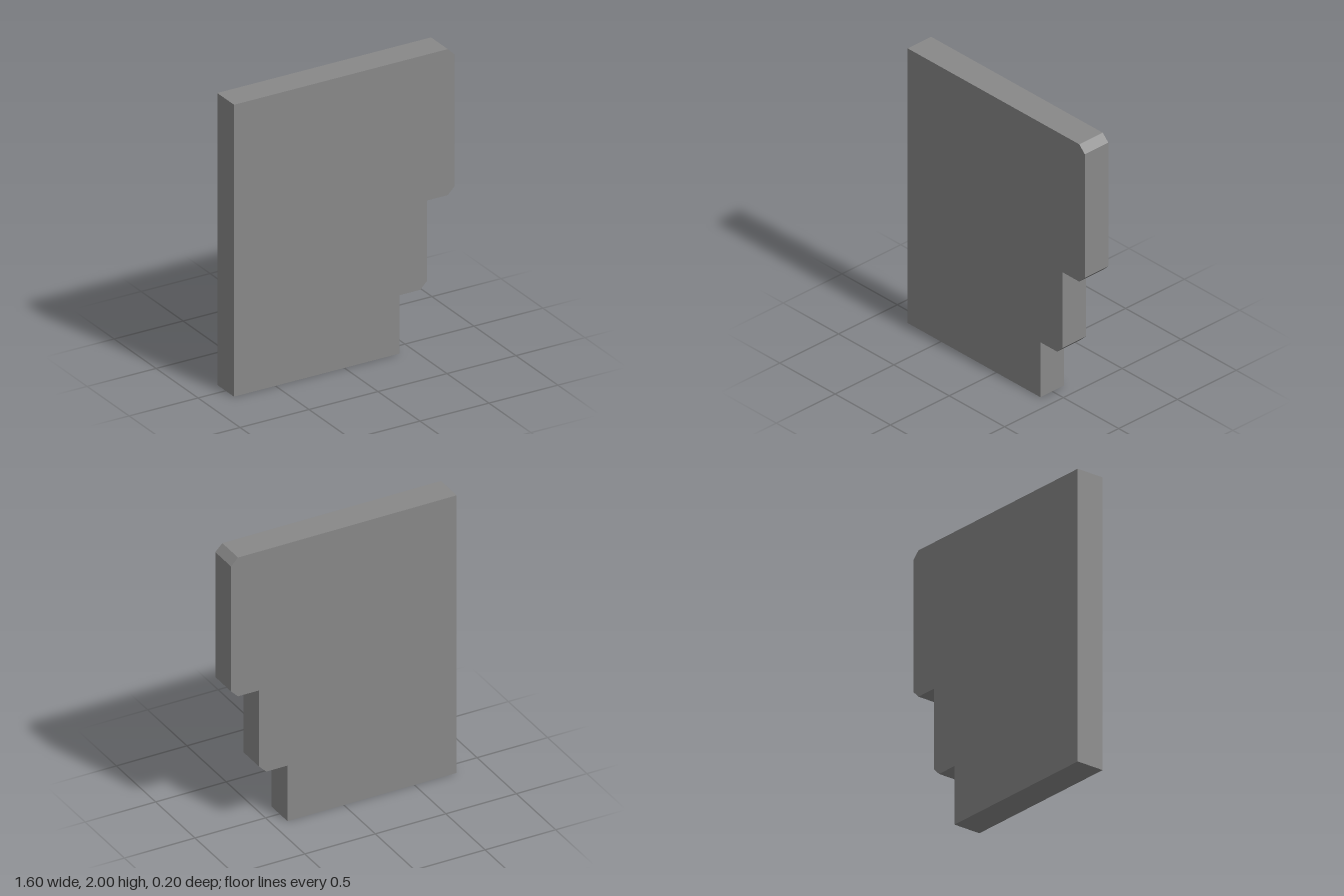
import * as THREE from 'three';

export function createModel() {
  const group = new THREE.Group();
  group.name = 'steppedPanel';

  // Stepped outline with chamfered corners, counter-clockwise
  const outline = [
    [-0.8, 0], [0.4, 0], [0.4, 0.4],
    [0.55, 0.4], [0.6, 0.45], [0.6, 1],
    [0.75, 1], [0.8, 1.05], [0.8, 1.95], [0.75, 2],
    [-0.8, 2],
  ];
  const shape = new THREE.Shape(outline.map(([x, y]) => new THREE.Vector2(x, y)));

  // Flat slab, centred on z = 0
  const depth = 0.2;
  const geometry = new THREE.ExtrudeGeometry(shape, { depth, bevelEnabled: false });
  geometry.translate(0, 0, -depth / 2);

  const panel = new THREE.Mesh(
    geometry,
    new THREE.MeshStandardMaterial({ color: 0x888888, flatShading: true })
  );
  panel.name = 'panel';
  group.add(panel);
  return group;
}
